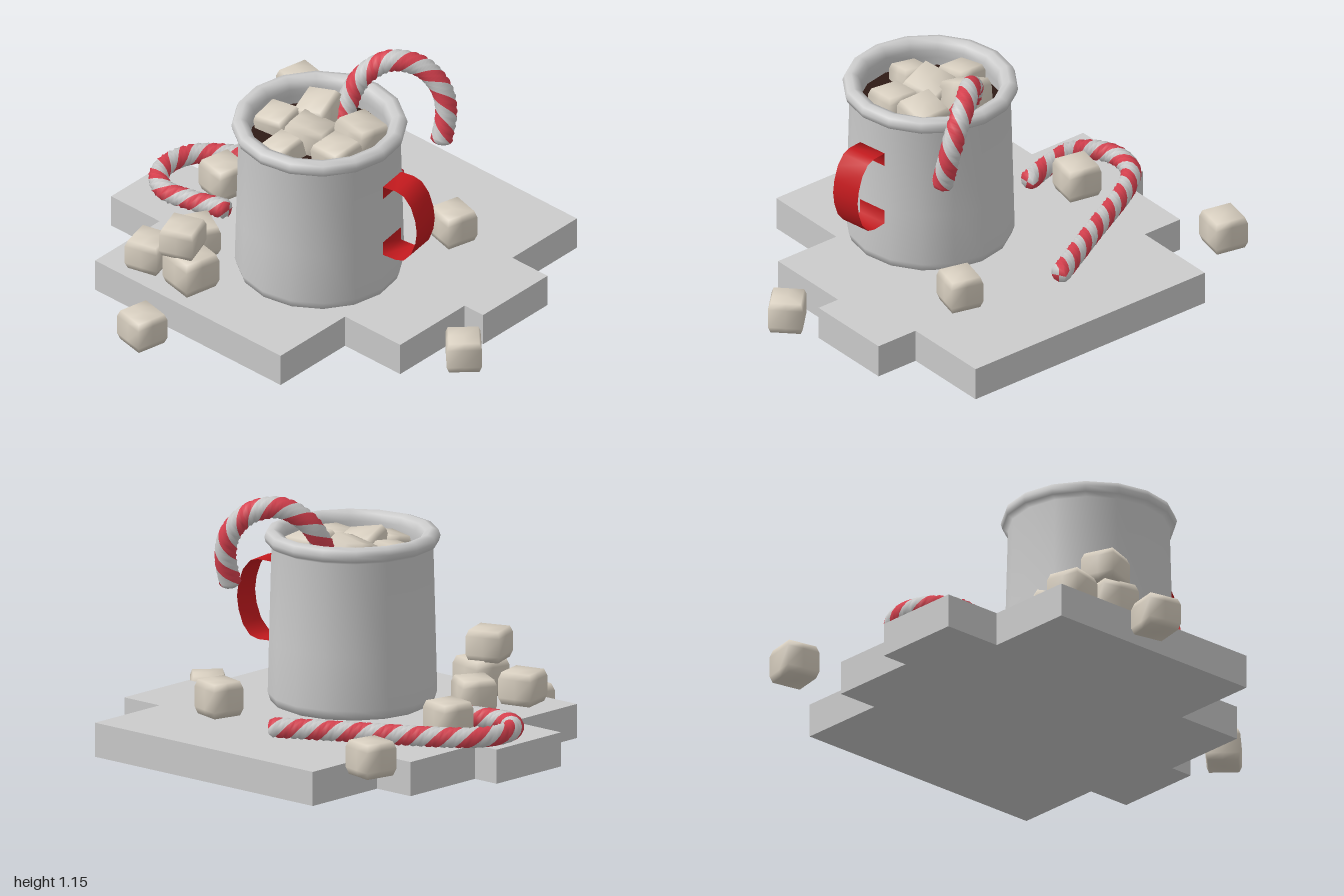
import * as THREE from 'three';
import { mergeVertices } from 'three/addons/utils/BufferGeometryUtils.js';

const mat = (color, side = THREE.FrontSide) => new THREE.MeshStandardMaterial({ color, side });
const grey = mat(0xcccccc);
const boardGrey = mat(0xcccccc);
const red = mat(0xc41a1e, THREE.DoubleSide);
const caneRed = mat(0xd8414f);
const cream = mat(0xd8cfc0);
const cocoa = mat(0x2e1a15);

const BOARD_TOP = 0.155;
const MUG = { x: 0.045, z: 0.07 };

function add(parent, name, geometry, material) {
  const mesh = new THREE.Mesh(geometry, material);
  mesh.name = name;
  parent.add(mesh);
  return mesh;
}

// Stepped board: outline in x, z, extruded upwards
function board() {
  const outline = [
    [-0.67, -0.97], [0.63, -0.97], [0.63, -0.55], [0.84, -0.55], [0.84, -0.13], [0.73, -0.13],
    [0.73, 0.29], [0.4, 0.29], [0.4, 0.71], [-0.71, 0.71], [-0.71, 0.29], [-1, 0.29],
    [-1, -0.13], [-0.87, -0.13], [-0.87, -0.55], [-0.67, -0.55],
  ];
  const shape = new THREE.Shape(outline.map(([x, z]) => new THREE.Vector2(x, -z)));
  return new THREE.ExtrudeGeometry(shape, { depth: BOARD_TOP, bevelEnabled: false }).rotateX(-Math.PI / 2);
}

// Mug body with a rolled rim and an inner wall
function mugBody() {
  const profile = [
    [0, 0.155], [0.335, 0.155], [0.362, 0.168], [0.374, 0.205], [0.368, 0.45], [0.357, 0.87],
    [0.382, 0.885], [0.389, 0.91], [0.38, 0.935], [0.35, 0.945], [0.32, 0.932], [0.307, 0.9],
    [0.312, 0.86], [0.318, 0.78],
  ];
  return new THREE.LatheGeometry(profile.map(([r, y]) => new THREE.Vector2(r, y)), 16);
}

// Handle: thin band swept along a side profile, with a flange at each end
function handleBand(width) {
  const half = [[0.382, 0.69], [0.382, 0.755], [0.45, 0.757], [0.492, 0.745], [0.53, 0.7], [0.553, 0.635]];
  const profile = [...half, [0.561, 0.575], ...half.map(([r, y]) => [r, 1.15 - y]).reverse()];
  const geo = new THREE.PlaneGeometry(1, width, profile.length - 1, 1);
  const p = geo.attributes.position;
  for (let i = 0; i < p.count; i++) {
    const [r, y] = profile[i % profile.length];
    p.setXYZ(i, r, y, p.getY(i));
  }
  geo.computeVertexNormals();
  return geo;
}

// Candy cane: twisted eight-sided tube, its sides alternating in colour in pairs
function candyCane(name, points, radius) {
  const curve = new THREE.CatmullRomCurve3(points.map((q) => new THREE.Vector3(...q)));
  const steps = 80, sides = 8, pitch = 0.27;
  const length = curve.getLength();
  const frames = curve.computeFrenetFrames(steps);
  const rings = [[0, 0]];
  for (let i = 0; i <= steps; i++) rings.push([i, i === 0 || i === steps ? 0.72 : 1]);
  rings.push([steps, 0]);

  const positions = [], striped = [[], []];
  rings.forEach(([i, scale], k) => {
    const centre = curve.getPointAt(i / steps);
    for (let j = 0; j < sides; j++) {
      const angle = (j / sides - (i / steps) * length / pitch) * Math.PI * 2;
      const v = centre.clone()
        .addScaledVector(frames.normals[i], Math.cos(angle) * radius * scale)
        .addScaledVector(frames.binormals[i], Math.sin(angle) * radius * scale);
      positions.push(v.x, v.y, v.z);
      if (k === rings.length - 1) continue;
      const a = k * sides + j, b = k * sides + (j + 1) % sides;
      striped[(j >> 1) % 2].push(a, b, a + sides, b, b + sides, a + sides);
    }
  });
  const whole = new THREE.BufferGeometry();
  whole.setAttribute('position', new THREE.Float32BufferAttribute(positions, 3));
  whole.setIndex([...striped[0], ...striped[1]]);
  whole.computeVertexNormals();

  const group = new THREE.Group();
  group.name = name;
  striped.forEach((index, n) => {
    const geo = whole.clone();
    geo.setIndex(index);
    add(group, n ? 'greyStripes' : 'redStripes', geo, n ? grey : caneRed);
  });
  return group;
}

// Marshmallow: unit cube narrowed at the top and bottom, smooth shaded
function marshmallowGeometry() {
  const box = new THREE.BoxGeometry(1, 1, 1, 2, 3, 2);
  box.deleteAttribute('normal');
  box.deleteAttribute('uv');
  const geo = mergeVertices(box);
  const p = geo.attributes.position;
  for (let i = 0; i < p.count; i++) {
    const end = Math.abs(p.getY(i)) > 0.4;
    const s = end ? 0.87 : 1;
    p.setXYZ(i, p.getX(i) * s, end ? p.getY(i) : Math.sign(p.getY(i)) * 0.3, p.getZ(i) * s);
  }
  geo.computeVertexNormals();
  return geo;
}

export function createModel() {
  const model = new THREE.Group();
  add(model, 'board', board(), boardGrey);

  // Mug, drink and handle
  const mug = new THREE.Group();
  mug.name = 'mug';
  mug.position.set(MUG.x, 0, MUG.z);
  model.add(mug);
  add(mug, 'mugBody', mugBody(), grey);
  const drink = add(mug, 'drink', new THREE.CircleGeometry(0.318, 16).rotateX(-Math.PI / 2), cocoa);
  drink.position.y = 0.82;
  add(mug, 'handle', handleBand(0.145), red).rotation.y = 0.16;

  // Candy canes: one hooked over the rim, one lying on the board
  model.add(candyCane('mugCane', [
    [0.03, 0.78, -0.08], [0.015, 0.94, -0.17], [0.05, 1.035, -0.23], [0.13, 1.095, -0.31],
    [0.23, 1.07, -0.39], [0.31, 0.98, -0.43], [0.345, 0.87, -0.43], [0.35, 0.72, -0.39],
  ], 0.05));
  const flat = [
    [-0.11, -0.64], [-0.45, -0.45], [-0.82, -0.24], [-0.92, -0.14], [-0.945, -0.01],
    [-0.9, 0.09], [-0.81, 0.143], [-0.67, 0.12], [-0.5, 0.065],
  ];
  model.add(candyCane('boardCane', flat.map(([x, z]) => [x, 0.2, z]), 0.047));

  // Marshmallows: x, centre y, z, width, height, turn, tilt
  const puff = marshmallowGeometry();
  const loose = [
    [-0.89, 0.232, -0.83, 0.16, 0.155, -0.2, 0], [-0.665, 0.232, -0.08, 0.16, 0.155, -0.2, 0],
    [0.33, 0.232, -0.49, 0.155, 0.155, -0.25, 0], [0.88, 0.075, 0.04, 0.155, 0.15, 0.78, 0],
    [-0.44, 0.228, 0.335, 0.16, 0.145, -0.5, 0], [-0.515, 0.228, 0.57, 0.16, 0.145, 0.25, 0],
    [-0.275, 0.24, 0.56, 0.18, 0.17, -0.2, 0], [-0.315, 0.39, 0.57, 0.16, 0.14, 0.35, 0],
    [-0.285, 0.075, 0.865, 0.16, 0.15, -0.2, 0],
  ];
  const floating = [
    [-0.06, 0.865, -0.05, 0.165, 0.15, 0.2, 0.3], [0.18, 0.85, -0.05, 0.17, 0.15, -0.08, -0.15],
    [-0.165, 0.84, 0.11, 0.15, 0.13, 0.1, 0.15], [0.02, 0.85, 0.11, 0.18, 0.15, 0.3, -0.2],
    [0.205, 0.84, 0.13, 0.16, 0.14, -0.05, 0.1], [0.005, 0.835, 0.26, 0.135, 0.13, -0.1, 0.2],
  ];
  const place = (name) => ([x, y, z, w, h, turn, tilt]) => {
    const m = add(model, name, puff, cream);
    m.position.set(x, y, z);
    m.scale.set(w, h, w);
    m.rotation.set(tilt, turn, tilt * 0.6);
  };
  loose.forEach(place('looseMarshmallow'));
  floating.forEach(place('floatingMarshmallow'));
  return model;
}
